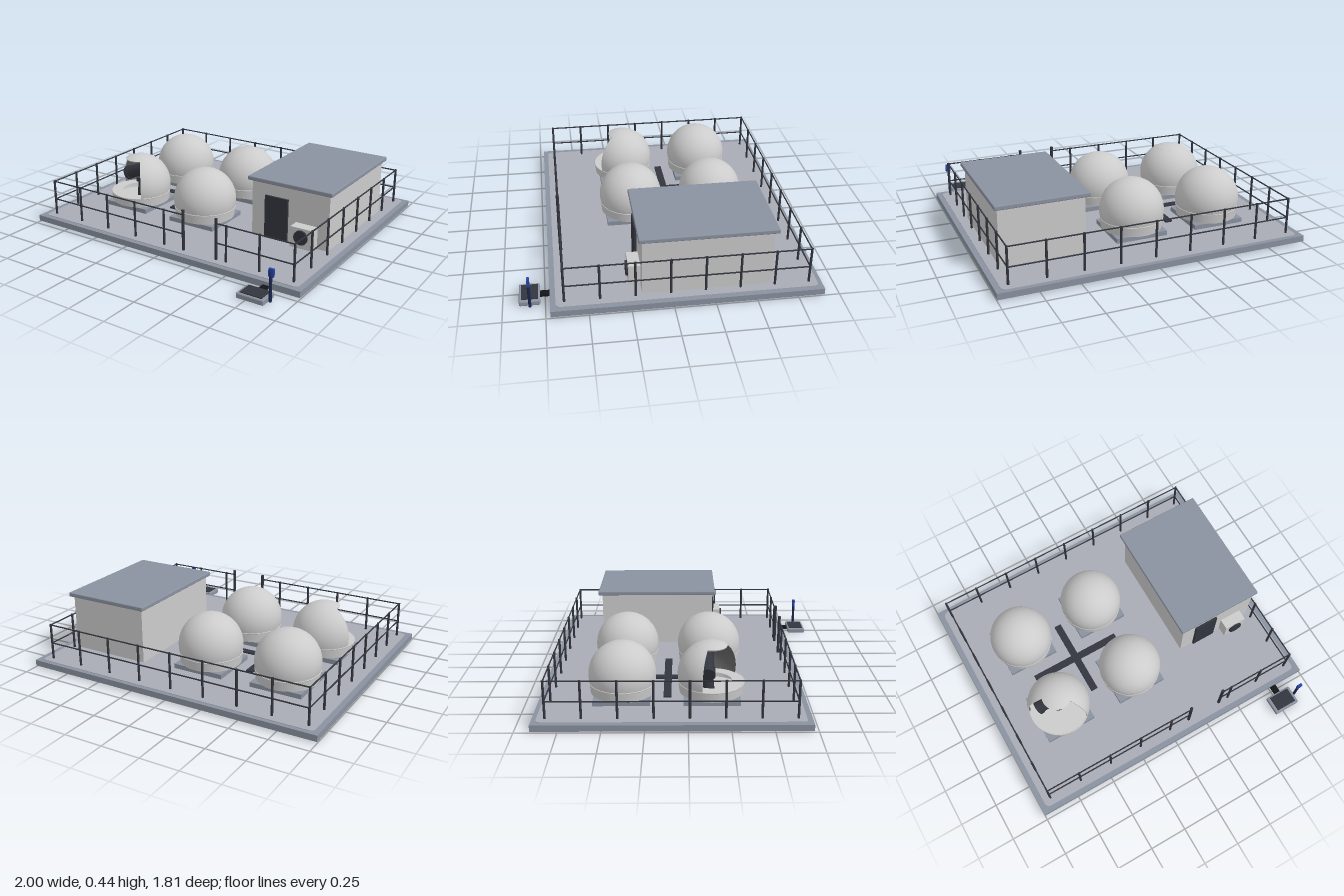
import * as THREE from 'three';
import { RoundedBoxGeometry } from 'three/addons/geometries/RoundedBoxGeometry.js';

const mat = (color, side = THREE.FrontSide) =>
  new THREE.MeshStandardMaterial({ color, side });
const GREY = mat(0xcccccc), GREY2 = mat(0xcccccc, THREE.DoubleSide);
const INNER = mat(0x666668, THREE.DoubleSide);
const DARK = mat(0x33363e), STEEL = mat(0x8a92a0), DECK = mat(0xa9abb5);
const BLUE = mat(0x2744a8), NAVY = mat(0x1c2750), BLACK = mat(0x141519);

function add(parent, name, geometry, material, x = 0, y = 0, z = 0) {
  const mesh = new THREE.Mesh(geometry, material);
  mesh.name = name;
  mesh.position.set(x, y, z);
  parent.add(mesh);
  return mesh;
}

// Box given by its minimum and maximum on each axis
const box = (parent, name, material, x0, x1, y0, y1, z0, z1) =>
  add(parent, name, new THREE.BoxGeometry(x1 - x0, y1 - y0, z1 - z0), material,
    (x0 + x1) / 2, (y0 + y1) / 2, (z0 + z1) / 2);

// Round bar between two points
function bar(parent, name, a, b, r, material = DARK, sides = 10) {
  const p = new THREE.Vector3(...a), q = new THREE.Vector3(...b);
  const d = q.clone().sub(p);
  const mesh = add(parent, name, new THREE.CylinderGeometry(r, r, d.length(), sides), material);
  mesh.position.copy(p).add(q).multiplyScalar(0.5);
  mesh.quaternion.setFromUnitVectors(new THREE.Vector3(0, 1, 0), d.normalize());
  return mesh;
}

// Points on a sphere profile, angles in degrees measured from the top
function arc(r, from, to, n = 20) {
  return Array.from({ length: n + 1 }, (_, i) => {
    const t = THREE.MathUtils.degToRad(from + (to - from) * i / n);
    return new THREE.Vector2(Math.max(0, r * Math.sin(t)), r * Math.cos(t));
  });
}

const R = 0.207, CY = 0.193, LOW = 103.5;

// Square pad and the round wall under every dome
function domeBase(g) {
  box(g, 'pad', STEEL, -0.172, 0.172, 0.045, 0.08, -0.172, 0.172);
  add(g, 'baseWall', new THREE.CylinderGeometry(0.203, 0.197, 0.055, 48, 1, true), GREY2, 0, 0.1125, 0);
  add(g, 'baseFloor', new THREE.CylinderGeometry(0.197, 0.197, 0.006, 48), GREY, 0, 0.085, 0);
  const band = add(g, 'band', new THREE.TorusGeometry(0.201, 0.004, 8, 48), GREY, 0, 0.142, 0);
  band.rotation.x = Math.PI / 2;
}

function closedDome() {
  const g = new THREE.Group();
  g.name = 'closedDome';
  domeBase(g);
  add(g, 'domeShell', new THREE.LatheGeometry(arc(R, LOW, 0, 28), 48), GREY, 0, CY, 0);
  return g;
}

// Dome with a side opening and an instrument inside
function openDome() {
  const g = new THREE.Group();
  g.name = 'openDome';
  domeBase(g);
  const rad = THREE.MathUtils.degToRad, ri = R - 0.008, top = 28;
  const start = rad(38), sweep = rad(215);
  add(g, 'cap', new THREE.LatheGeometry(arc(R, top, 0, 8), 48), GREY, 0, CY, 0);
  add(g, 'capInside', new THREE.LatheGeometry(arc(ri, 0, top, 8), 48), INNER, 0, CY, 0);
  add(g, 'capEdge', new THREE.LatheGeometry([...arc(ri, top, top, 1).slice(1), ...arc(R, top, top, 1).slice(1)], 48),
    GREY2, 0, CY, 0);
  add(g, 'shell', new THREE.LatheGeometry(arc(R, LOW, top), 40, start, sweep), GREY, 0, CY, 0);
  add(g, 'shellInside', new THREE.LatheGeometry(arc(ri, top, LOW), 40, start, sweep), INNER, 0, CY, 0);
  const section = new THREE.Shape([...arc(R, LOW, top), ...arc(ri, top, LOW)]);
  for (const phi of [start, start + sweep]) {
    const edge = add(g, 'shellEdge', new THREE.ShapeGeometry(section), GREY2, 0, CY, 0);
    edge.rotation.y = phi - Math.PI / 2;
  }
  const rim = add(g, 'rim', new THREE.RingGeometry(0.128, 0.203, 48), GREY2, 0, 0.145, 0);
  rim.rotation.x = -Math.PI / 2;
  // Instrument on its mount
  add(g, 'pedestal', new THREE.CylinderGeometry(0.028, 0.04, 0.13, 20), DARK, 0, 0.15, -0.02);
  add(g, 'mountHead', new THREE.CylinderGeometry(0.045, 0.045, 0.025, 20), DARK, 0, 0.215, -0.02);
  bar(g, 'instrumentTube', [-0.125, 0.235, -0.03], [0.08, 0.315, -0.03], 0.045, DARK, 24);
  bar(g, 'instrumentCollar', [-0.135, 0.231, -0.03], [-0.115, 0.239, -0.03], 0.05, DARK, 24);
  return g;
}

function railing() {
  const g = new THREE.Group();
  g.name = 'railing';
  const X = 0.915, Z0 = -0.83, Z1 = 0.64, gate = [0.147, 0.387];
  const post = (x, z) => bar(g, 'post', [x, 0.045, z], [x, 0.288, z], 0.0075);
  for (let i = 0; i <= 8; i++) {
    const x = -X + (2 * X * i) / 8;
    post(x, Z0);
    if (x < gate[0] || x > gate[1]) post(x, Z1);
  }
  for (let i = 1; i < 7; i++) for (const s of [-1, 1]) post(s * X, Z0 + (Z1 - Z0) * i / 7);
  for (const x of gate) bar(g, 'gatePost', [x, 0.045, Z1], [x, 0.315, Z1], 0.01);
  for (const y of [0.157, 0.283]) {
    const rail = (x0, z0, x1, z1) => bar(g, 'rail', [x0, y, z0], [x1, y, z1], 0.0045, DARK, 8);
    rail(-X, Z0, X, Z0);
    rail(-X, Z0, -X, Z1);
    rail(X, Z0, X, Z1);
    rail(-X, Z1, gate[0], Z1);
    rail(gate[1], Z1, X, Z1);
  }
  return g;
}

function controlHouse() {
  const g = new THREE.Group();
  g.name = 'controlHouse';
  box(g, 'walls', GREY, 0.36, 0.9, 0.045, 0.415, -0.6, 0.18);
  add(g, 'roof', new RoundedBoxGeometry(0.586, 0.028, 0.827, 2, 0.006), STEEL, 0.628, 0.426, -0.213);
  box(g, 'door', DARK, 0.457, 0.62, 0.05, 0.332, 0.17, 0.194);
  // Cooling unit with a round fan
  box(g, 'coolingUnit', GREY, 0.675, 0.825, 0.06, 0.195, 0.175, 0.252);
  const fan = add(g, 'fan', new THREE.CylinderGeometry(0.047, 0.047, 0.014, 28), DARK, 0.75, 0.135, 0.257);
  fan.rotation.x = Math.PI / 2;
  return g;
}

function outsideStation() {
  const g = new THREE.Group();
  g.name = 'outsideStation';
  box(g, 'conduit', BLACK, 0.76, 0.8, 0.008, 0.026, 0.715, 0.785);
  add(g, 'stationPlate', new RoundedBoxGeometry(0.178, 0.034, 0.125, 2, 0.008), STEEL, 0.78, 0.017, 0.842);
  box(g, 'stationInset', DARK, 0.71, 0.85, 0.03, 0.039, 0.79, 0.89);
  bar(g, 'markerPost', [0.877, 0.002, 0.84], [0.877, 0.19, 0.84], 0.009, NAVY);
  box(g, 'markerHead', BLUE, 0.865, 0.897, 0.158, 0.207, 0.832, 0.848);
  return g;
}

// Thin deck plate with rounded corners
function deckGeometry(x, z0, z1, r, h) {
  const s = new THREE.Shape();
  s.absarc(x - r, z1 - r, r, 0, Math.PI / 2);
  s.absarc(-x + r, z1 - r, r, Math.PI / 2, Math.PI);
  s.absarc(-x + r, z0 + r, r, Math.PI, Math.PI * 1.5);
  s.absarc(x - r, z0 + r, r, Math.PI * 1.5, Math.PI * 2);
  return new THREE.ExtrudeGeometry(s, { depth: h, bevelEnabled: false, curveSegments: 6 }).rotateX(-Math.PI / 2);
}

export function createModel() {
  const model = new THREE.Group();
  model.name = 'observatoryPlatform';
  box(model, 'slab', STEEL, -1, 1, 0.008, 0.047, -0.907, 0.723);
  add(model, 'deck', deckGeometry(0.965, -0.69, 0.88, 0.03, 0.004), DECK, 0, 0.046, 0);

  for (const x of [-0.575, -0.03]) for (const z of [-0.4, 0.145]) {
    const dome = x < -0.5 && z > 0 ? openDome() : closedDome();
    dome.position.set(x, 0, z);
    model.add(dome);
  }
  // Crossing cable trays between the domes
  box(model, 'cableTrayAcross', DARK, -0.62, 0.012, 0.045, 0.058, -0.149, -0.101);
  box(model, 'cableTrayAlong', DARK, -0.329, -0.281, 0.045, 0.06, -0.395, 0.142);

  model.add(railing(), controlHouse(), outsideStation());
  return model;
}
